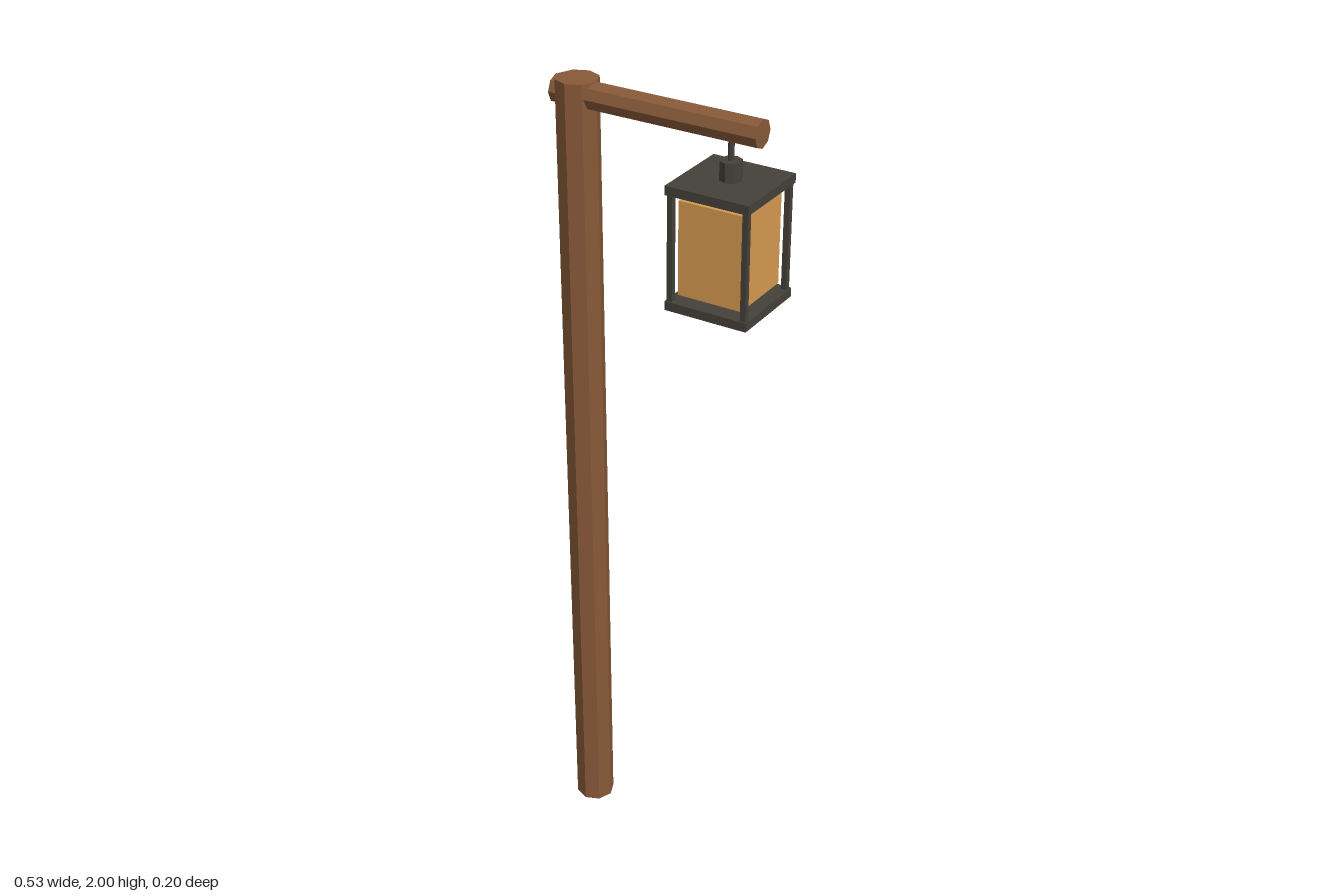
import * as THREE from 'three';

export function createModel() {
  const wood = new THREE.MeshStandardMaterial({ name: 'wood', color: 0x885a39, flatShading: true });
  const iron = new THREE.MeshStandardMaterial({ name: 'dark iron', color: 0x45403a, flatShading: true });
  const glow = new THREE.MeshStandardMaterial({ name: 'amber glass', color: 0xd89a50, flatShading: true });

  const model = new THREE.Group();
  model.name = 'lampPost';

  const add = (parent, name, geometry, material, x, y, z) => {
    const mesh = new THREE.Mesh(geometry, material);
    mesh.name = name;
    mesh.position.set(x, y, z);
    parent.add(mesh);
    return mesh;
  };

  // Octagonal post and the arm that passes through its top
  add(model, 'post', new THREE.CylinderGeometry(0.049, 0.049, 2, 8), wood, -0.214, 1, 0);
  const arm = add(model, 'arm', new THREE.CylinderGeometry(0.032, 0.032, 0.507, 8), wood, -0.015, 1.967, 0);
  arm.rotation.z = Math.PI / 2;

  // Lantern, hung under the end of the arm
  const lantern = new THREE.Group();
  lantern.name = 'lantern';
  lantern.position.x = 0.166;
  model.add(lantern);

  add(lantern, 'hangingRod', new THREE.CylinderGeometry(0.007, 0.007, 0.07, 8), iron, 0, 1.92, 0);
  add(lantern, 'collar', new THREE.CylinderGeometry(0.025, 0.025, 0.045, 8), iron, 0, 1.873, 0);
  const plate = new THREE.BoxGeometry(0.2, 0.021, 0.2);
  add(lantern, 'cap', plate, iron, 0, 1.842, 0);
  add(lantern, 'base', plate, iron, 0, 1.577, 0);
  add(lantern, 'glass', new THREE.BoxGeometry(0.155, 0.217, 0.163), glow, 0, 1.709, 0);

  // Four corner bars
  const bar = new THREE.BoxGeometry(0.013, 0.25, 0.013);
  for (const sx of [-1, 1])
    for (const sz of [-1, 1]) add(lantern, 'cornerBar', bar, iron, sx * 0.09, 1.7095, sz * 0.09);

  return model;
}
